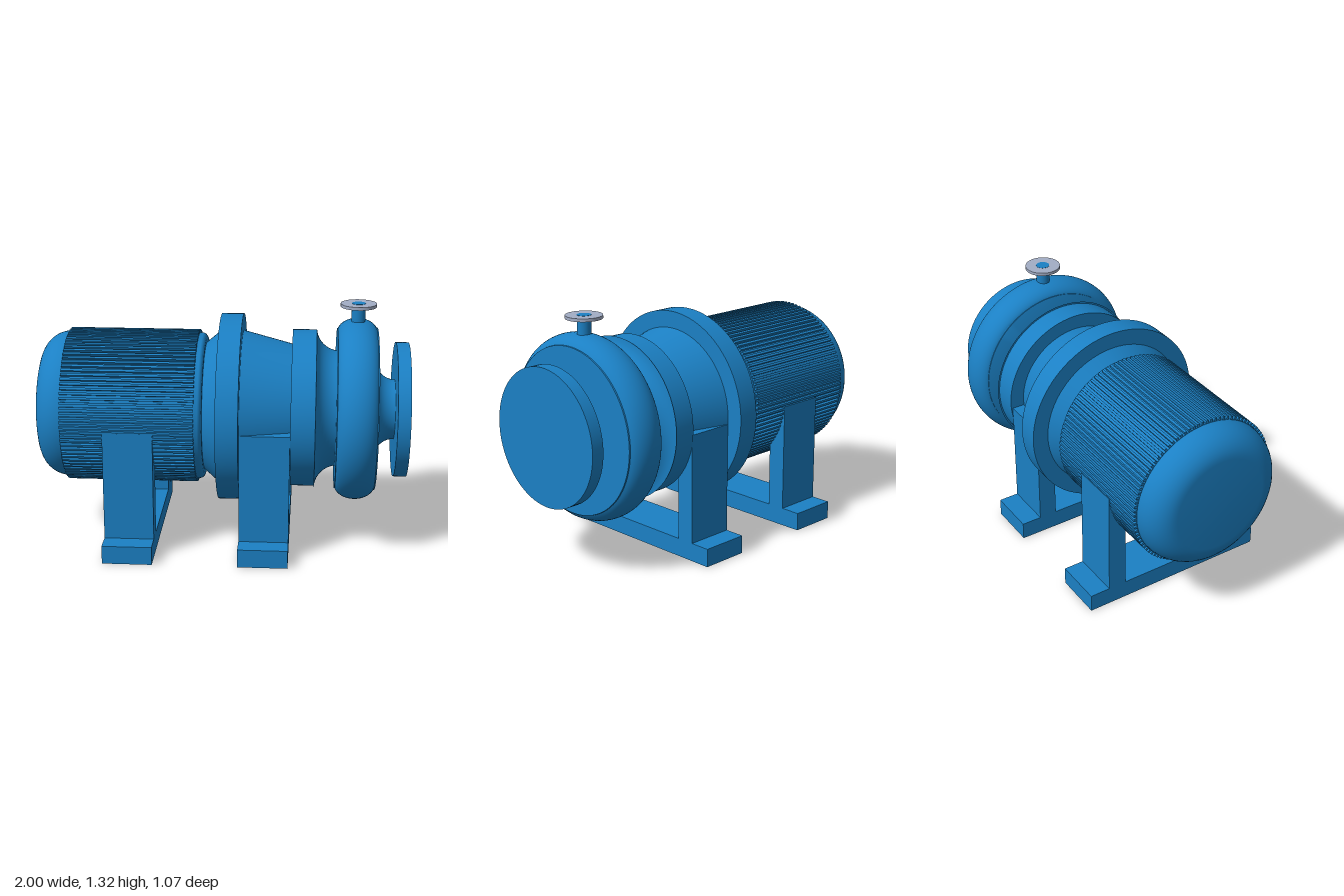
import * as THREE from 'three';
import { toCreasedNormals } from 'three/addons/utils/BufferGeometryUtils.js';

const AXIS_Y = 0.73;
const blue = new THREE.MeshStandardMaterial({ color: 0x1b80c4 });
const grey = new THREE.MeshStandardMaterial({ color: 0xa3aec6 });

export function createModel() {
  const model = new THREE.Group();

  const add = (name, geometry, x, y, z, material = blue) => {
    const mesh = new THREE.Mesh(geometry, material);
    mesh.name = name;
    mesh.position.set(x, y, z);
    model.add(mesh);
    return mesh;
  };

  // Turned part along the x axis; the profile lists [x, radius] from left to right
  const turned = (name, profile) => {
    const points = profile.map(([x, r]) => new THREE.Vector2(r, x));
    const geometry = toCreasedNormals(new THREE.LatheGeometry(points, 96), 0.5);
    geometry.rotateZ(-Math.PI / 2);
    return add(name, geometry, 0, AXIS_Y, 0);
  };

  // Points on an elliptical arc, for rounded and hollow profiles
  const arc = (cx, cr, rx, rr, from, to, steps = 10) =>
    Array.from({ length: steps + 1 }, (_, i) => {
      const a = THREE.MathUtils.degToRad(from + ((to - from) * i) / steps);
      return [cx + rx * Math.cos(a), cr + rr * Math.sin(a)];
    });

  const disc = (name, x0, x1, r) => turned(name, [[x0, 0], [x0, r], [x1, r], [x1, 0]]);

  // Motor housing with a rounded rear cap
  turned('motorHousing', [
    [-1, 0],
    ...arc(-0.85, 0.263, 0.15, 0.14, 180, 90),
    ...arc(-0.13, 0.373, 0.03, 0.03, 90, 0, 5),
    [-0.1, 0],
  ]);

  // Cooling fins as one toothed ring around the motor
  const FINS = 100;
  const finShape = new THREE.Shape();
  for (let i = 0; i < FINS; i++) {
    [[0, 0.405], [0.02, 0.421], [0.5, 0.421], [0.52, 0.405]].forEach(([t, r], k) => {
      const a = ((i + t) / FINS) * Math.PI * 2;
      const p = [r * Math.cos(a), r * Math.sin(a)];
      if (i + k === 0) finShape.moveTo(...p);
      else finShape.lineTo(...p);
    });
  }
  finShape.closePath();
  const fins = new THREE.ExtrudeGeometry(finShape, { depth: 0.71, bevelEnabled: false });
  fins.rotateY(Math.PI / 2);
  add('coolingFins', fins, -0.85, AXIS_Y, 0);

  // Coupling housing between motor and pump
  turned('adapterCone', [[-0.11, 0], [-0.11, 0.345], [-0.01, 0.43], [-0.01, 0]]);
  disc('couplingFlange', -0.02, 0.1, 0.512);
  turned('couplingHousing', [[0.09, 0], [0.09, 0.423], [0.1, 0.42], [0.38, 0.347], [0.38, 0]]);
  disc('pumpMountRing', 0.37, 0.5, 0.43);
  turned('pumpNeck', [
    [0.49, 0],
    ...arc(0.63, 0.44, 0.13, 0.125, 180, 270),
    [0.63, 0],
  ]);

  // Pump casing, suction neck and suction flange
  turned('pumpCasing', [
    [0.61, 0],
    [0.61, 0.44],
    ...arc(0.72, 0.42, 0.11, 0.077, 165, 20, 16),
    [0.83, 0.445],
    [0.83, 0],
  ]);
  turned('suctionNeck', [
    [0.82, 0],
    ...arc(0.93, 0.27, 0.105, 0.107, 180, 270),
    [0.95, 0.163],
    [0.95, 0],
  ]);
  disc('suctionFlange', 0.93, 1, 0.368);

  // Discharge pipe with its flange on top of the casing
  add('dischargePipe', new THREE.CylinderGeometry(0.037, 0.037, 0.143, 40), 0.72, 1.2515, 0);
  add('dischargeFlange', new THREE.CylinderGeometry(0.097, 0.097, 0.017, 48), 0.72, 1.313, 0, grey);

  // Two supports: a foot beam across, with a post on each side
  [['motor', -0.49], ['coupling', 0.235]].forEach(([name, x]) => {
    add(name + 'Foot', new THREE.BoxGeometry(0.268, 0.1, 1.066), x, 0.05, 0);
    for (const side of [1, -1]) {
      add(name + 'Post', new THREE.BoxGeometry(0.268, 0.6, 0.102), x, 0.398, side * 0.369);
    }
  });

  return model;
}
